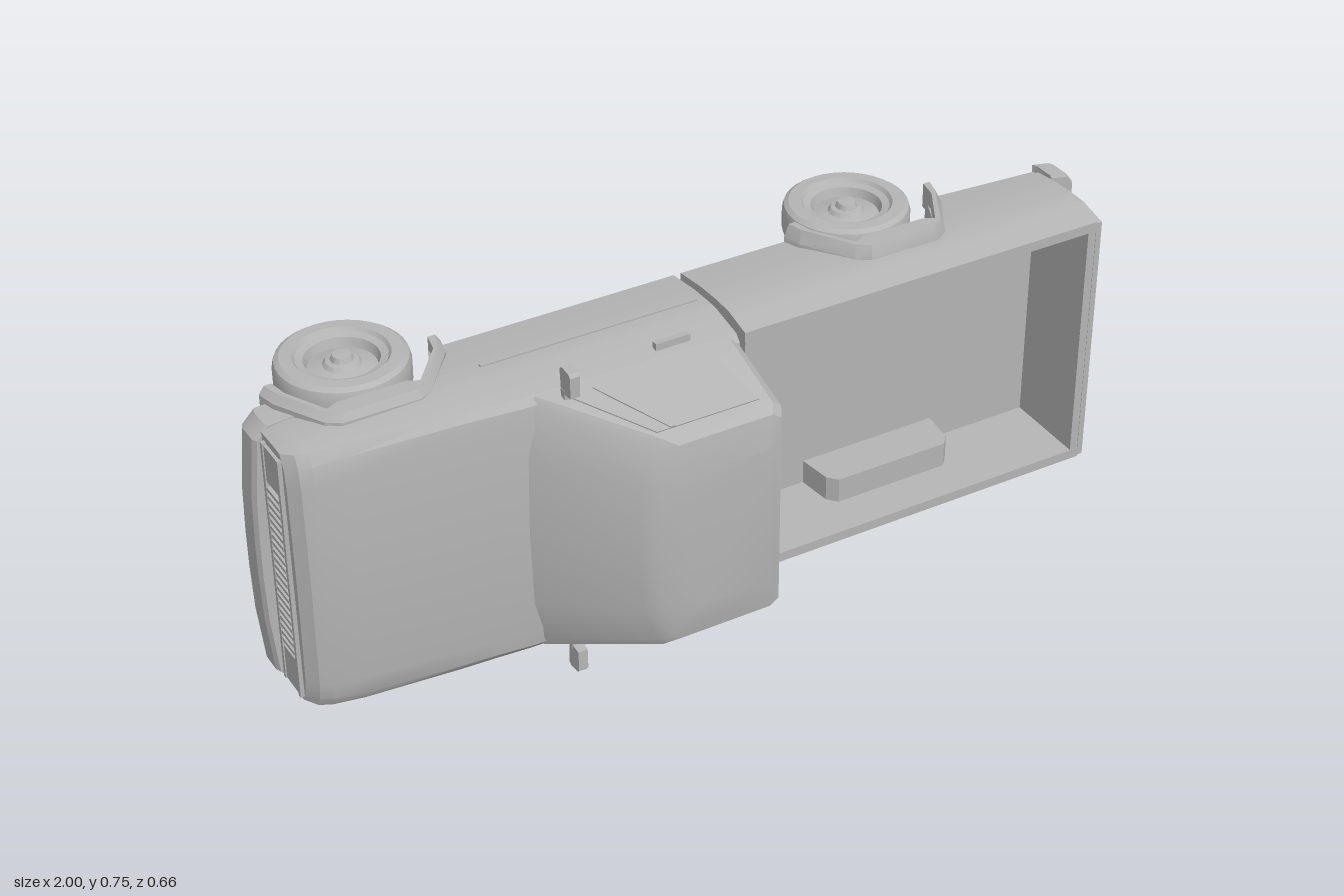
import * as THREE from 'three';
import { toCreasedNormals } from 'three/addons/utils/BufferGeometryUtils.js';

const grey = new THREE.MeshStandardMaterial({ color: 0xb4b4b4, side: THREE.DoubleSide });
grey.name = 'plain grey';

const BASE = -0.145; // underside of the body
const WIDTHS = [[-0.145, 0.315], [-0.06, 0.325], [0, 0.327], [0.05, 0.325], [0.08, 0.317], [0.125, 0.306]];

// Half width of the body side at a height
function halfWidth(y) {
  for (let i = 1; i < WIDTHS.length; i++) {
    const [y0, w0] = WIDTHS[i - 1], [y1, w1] = WIDTHS[i];
    if (y <= y1) return w0 + (w1 - w0) * Math.max(0, (y - y0) / (y1 - y0));
  }
  return 0.306;
}

// Closed solid through equal-length rings of points; axis is the loft direction
function loft(rings, axis, crease = 0.45) {
  const pos = [], n = rings[0].length;
  const V = rings.map(r => r.map(p => new THREE.Vector3(...p)));
  const centre = r => r.reduce((s, p) => s.add(p), new THREE.Vector3()).divideScalar(n);
  const dir = centre(V[V.length - 1]).sub(centre(V[0]));
  const area = new THREE.Vector3();
  V[0].forEach((p, k) => area.add(p.clone().cross(V[0][(k + 1) % n])));
  const ccw = area.dot(dir) > 0;
  const tri = (a, b, c) => [a, b, c].forEach(p => pos.push(p.x, p.y, p.z));
  for (let i = 0; i < V.length - 1; i++) {
    for (let k = 0; k < n; k++) {
      const m = (k + 1) % n, a = V[i][k], b = V[i][m], c = V[i + 1][m], d = V[i + 1][k];
      if (ccw) { tri(a, b, c); tri(a, c, d); } else { tri(a, c, b); tri(a, d, c); }
    }
  }
  const [u, v] = ['x', 'y', 'z'].filter(s => s !== axis);
  [[V[0], -1], [V[V.length - 1], 1]].forEach(([r, s]) => {
    const flat = r.map(p => new THREE.Vector2(p[u], p[v]));
    THREE.ShapeUtils.triangulateShape(flat, []).forEach(([a, b, c]) => {
      const nrm = r[b].clone().sub(r[a]).cross(r[c].clone().sub(r[a]));
      if (nrm.dot(dir) * s > 0) tri(r[a], r[b], r[c]); else tri(r[a], r[c], r[b]);
    });
  });
  const g = new THREE.BufferGeometry();
  g.setAttribute('position', new THREE.Float32BufferAttribute(pos, 3));
  return toCreasedNormals(g, crease);
}

// Thin plate from corner points, thickened by an offset
const plate = (pts, off, axis) => loft([pts, pts.map(p => p.map((c, i) => c + off[i]))], axis);
const shapeOf = pts => new THREE.Shape(pts.map(p => new THREE.Vector2(...p)));

// Body cross-section at x: wheel housing below, body side, then the given top points
function section(x, k, base, arch, levels, top) {
  const half = [[0, base], [0.23, base], [0.23, arch], [halfWidth(arch) * k, arch]];
  levels.forEach(l => { const y = Math.max(l, arch); half.push([halfWidth(y) * k, y]); });
  top.forEach(([z, y]) => half.push([z * k, y]));
  const other = half.slice(1, -1).reverse().map(([z, y]) => [-z, y]);
  return half.concat(other).map(([z, y]) => [x, y, z]);
}

export function createModel() {
  const model = new THREE.Group();
  const truck = new THREE.Group();
  truck.name = 'truck';
  model.add(truck);
  const add = (name, geo, x = 0, y = 0, z = 0) => {
    const m = new THREE.Mesh(geo, grey);
    m.name = name;
    m.position.set(x, y, z);
    truck.add(m);
    return m;
  };
  const box = (name, w, h, d, x, y, z) => add(name, new THREE.BoxGeometry(w, h, d), x, y, z);

  // Bonnet and lower cab: x, top height, width scale, underside, wheel housing height
  const front = [
    [-0.965, 0.05, 0.93, -0.12, -0.12], [-0.945, 0.075, 0.95, -0.13, -0.13], [-0.92, 0.086, 0.965, BASE, BASE],
    [-0.85, 0.094, 0.985, BASE, 0], [-0.64, 0.111, 1, BASE, 0], [-0.56, 0.117, 1, BASE, BASE],
    [-0.48, 0.125, 1, BASE, BASE], [0.008, 0.13, 1, BASE, BASE]];
  add('bonnetAndLowerCab', loft(front.map(([x, t, k, b, a]) =>
    section(x, k, b, a, [-0.06, 0, 0.03, t - 0.02], [[0.295, t - 0.006], [0.25, t], [0, t + 0.004]])), 'x'));

  // Upper cab: height, front x, back x, half width
  const upper = [[0.11, -0.505, 0.008, 0.31], [0.295, -0.325, 0.002, 0.256], [0.314, -0.295, -0.008, 0.24], [0.326, -0.23, -0.03, 0.17]];
  add('upperCab', loft(upper.map(([y, f, b, w]) => [
    [f, y, 0], [f + 0.008, y, w * 0.6], [f + 0.035, y, w * 0.93], [f + 0.05, y, w], [b - 0.02, y, w], [b, y, w * 0.94],
    [b, y, -w * 0.94], [b - 0.02, y, -w], [f + 0.05, y, -w], [f + 0.035, y, -w * 0.93], [f + 0.008, y, -w * 0.6]]), 'y'));

  // Windows
  const cabZ = y => 0.31 - (y - 0.11) * 0.292;
  for (const s of [1, -1]) {
    add('sideWindow', plate([[-0.395, 0.135], [-0.07, 0.135], [-0.04, 0.28], [-0.275, 0.28]]
      .map(([x, y]) => [x, y, s * cabZ(y)]), [0, 0.001, s * 0.003], 'z'));
    add('quarterWindowPost', plate([[-0.34, 0.135], [-0.33, 0.135], [-0.235, 0.28], [-0.245, 0.28]]
      .map(([x, y]) => [x, y, s * cabZ(y)]), [0, 0.002, s * 0.006], 'z'));
  }
  add('rearWindow', plate([[0.007, 0.16, 0.262], [0.003, 0.288, 0.232], [0.003, 0.288, -0.232], [0.007, 0.16, -0.262]], [0.003, 0, 0], 'x'));

  // Load bed with open tray: x, underside, wheel housing height
  const bed = [[0.025, BASE, BASE], [0.3, BASE, BASE], [0.37, 0.01, 0], [0.57, 0.01, 0], [0.645, BASE, BASE], [0.918, -0.122, -0.122]];
  add('loadBed', loft(bed.map(([x, a, b]) =>
    section(x, 1, b === 0 ? BASE : b, a, [-0.06, 0, 0.05, 0.08, 0.117], [[0.285, 0.117], [0.28, -0.08], [0, -0.08]])), 'x'));
  box('bedFrontWall', 0.018, 0.2, 0.575, 0.035, 0.016, 0);
  box('tailgateInner', 0.02, 0.2, 0.575, 0.906, 0.016, 0);

  // Tailgate skin with pressed panel
  const edge = [-0.12, -0.06, 0, 0.05, 0.08, 0.117];
  const gate = shapeOf([...edge.map(y => [halfWidth(y) - 0.004, y]), ...edge.slice().reverse().map(y => [0.004 - halfWidth(y), y])]);
  gate.holes.push(new THREE.Path([[-0.225, 0.07], [-0.225, -0.025], [0.225, -0.025], [0.225, 0.07]].map(p => new THREE.Vector2(...p))));
  add('tailgate', new THREE.ExtrudeGeometry(gate, { depth: 0.014, bevelEnabled: false }).rotateY(Math.PI / 2), 0.916, 0, 0);
  box('tailgateHandle', 0.01, 0.02, 0.065, 0.928, 0.06, 0);
  box('tailgateTrim', 0.006, 0.026, 0.49, 0.93, 0.091, 0);

  // Parts found on both sides
  for (const s of [1, -1]) {
    const well = new THREE.ExtrudeGeometry(shapeOf([[0.3, -0.082], [0.64, -0.082], [0.63, 0], [0.61, 0.022], [0.33, 0.022], [0.31, 0]]),
      { depth: 0.07, bevelEnabled: false });
    add('innerWheelHousing', well, 0, 0, s > 0 ? 0.223 : -0.293);

    // Wheel arch flares, leaning in toward the top edge
    const flares = [['frontFlare', -0.93, -0.85, -0.64, -0.535, 0.345], ['rearFlare', 0.28, 0.37, 0.58, 0.665, 0.356]];
    for (const [name, a, b, c, d, w] of flares) {
      const outer = [[a, BASE], [a + 0.01, -0.1], [b - 0.01, 0.01], [b + 0.02, 0.03], [c - 0.02, 0.03], [c + 0.01, 0.01], [d - 0.01, -0.1], [d, BASE]];
      const inner = [[d - 0.028, BASE], [d - 0.037, -0.1], [c - 0.005, -0.008], [c - 0.03, -0.02], [b + 0.03, -0.02], [b + 0.005, -0.008], [a + 0.037, -0.1], [a + 0.028, BASE]];
      const lean = (pts, z) => pts.map(([x, y]) => [x, y, s * z]);
      const shrink = outer.map(([x, y]) => [x + ((a + d) / 2 - x) * 0.06, y > -0.14 ? y - 0.01 : y]);
      add(name, loft([lean([...outer, ...inner], 0.3), lean([...outer, ...inner], 0.328), lean([...shrink, ...inner], w)], 'z'));
    }

    // Wheels: tyre, dished rim and hub turned as one profile
    const profile = [[0, -0.02], [0.06, -0.02], [0.08, -0.036], [0.095, -0.042], [0.126, -0.041], [0.136, -0.034], [0.14, -0.02],
      [0.14, 0.02], [0.136, 0.034], [0.126, 0.041], [0.1, 0.042], [0.094, 0.034], [0.078, 0.03], [0.072, 0.01], [0.04, 0.018],
      [0.034, 0.026], [0.024, 0.028], [0.02, 0.04], [0, 0.042]].map(p => new THREE.Vector2(...p));
    const wheel = toCreasedNormals(new THREE.LatheGeometry(profile, 36).rotateX(s * Math.PI / 2), 0.5);
    add('frontWheel', wheel, -0.735, -0.183, s * 0.3);
    add('rearWheel', wheel, 0.467, -0.19, s * 0.3);

    // Mirrors and door handles
    const glass = new THREE.ExtrudeGeometry(shapeOf([[0.312, 0.125], [0.366, 0.121], [0.373, 0.13], [0.371, 0.158], [0.364, 0.165], [0.316, 0.164]]
      .map(([z, y]) => [s * z, y])), { depth: 0.022, bevelEnabled: false }).rotateY(-Math.PI / 2);
    add('doorMirror', glass, -0.382, 0, 0);
    box('mirrorArm', 0.03, 0.015, 0.03, -0.39, 0.133, s * 0.307);
    box('doorHandle', 0.08, 0.014, 0.016, -0.13, 0.086, s * 0.322);
    box('headlight', 0.012, 0.06, 0.085, -0.966, -0.005, s * 0.245);
    box('bodySideTrim', 0.5, 0.01, 0.006, -0.26, -0.02, s * 0.327);
  }

  // Grille
  for (let i = -10; i <= 10; i++) box('grilleBar', 0.014, 0.06, 0.008, -0.967, -0.005, i * 0.0185);
  box('grilleTopRail', 0.016, 0.01, 0.58, -0.966, 0.032, 0);
  box('grilleBottomRail', 0.016, 0.01, 0.58, -0.966, -0.042, 0);

  // Bumpers drawn in plan and given height
  const bumper = (name, pts, y0, y1) => {
    const ring = [...pts, ...pts.slice().reverse().map(([x, z]) => [x, -z])];
    add(name, loft([y0, y0 + 0.012, y1 - 0.012, y1].map((y, i) =>
      ring.map(([x, z]) => [x * (i % 3 ? 1 : 0.994), y, z])), 'y'));
  };
  bumper('frontBumper', [[-0.94, 0.04], [-0.94, 0.29], [-0.895, 0.3], [-0.895, 0.318], [-0.955, 0.313], [-0.982, 0.285], [-0.995, 0.15], [-0.998, 0.04]], -0.128, -0.056);
  box('frontValance', 0.06, 0.03, 0.56, -0.925, -0.135, 0);
  bumper('rearBumper', [[0.94, 0.03], [0.94, 0.318], [0.985, 0.31], [1, 0.29], [1, 0.11], [0.955, 0.07], [0.955, 0.03]], -0.148, -0.076);
  for (const s of [1, -1]) box('bumperBracket', 0.06, 0.02, 0.04, 0.925, -0.11, s * 0.2);

  // The vehicle lies on its side: roof toward the front, width upward
  truck.rotation.x = Math.PI / 2;
  truck.position.y = 0.373;
  return model;
}
